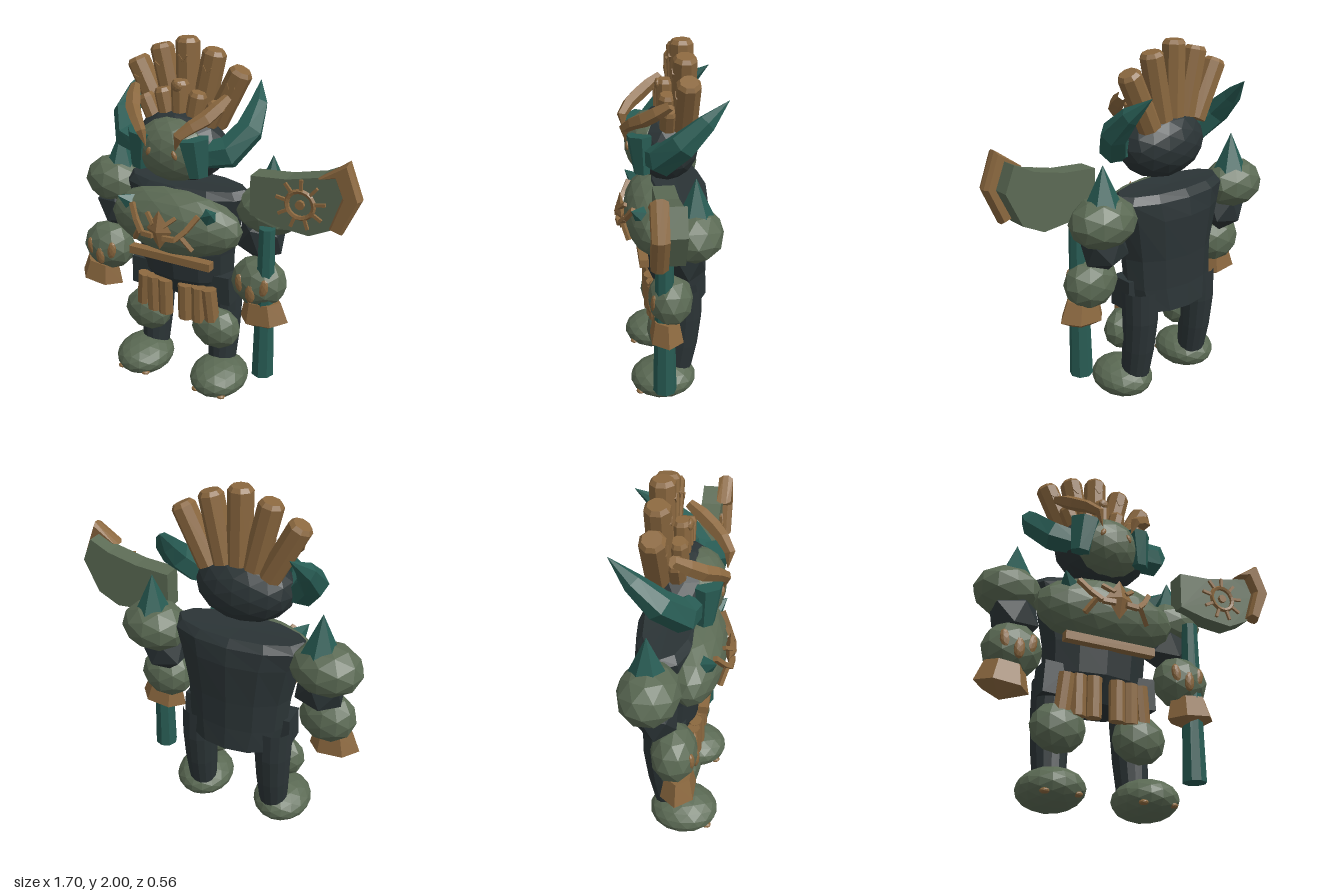
import * as THREE from 'three';

const paint = (name, color) => {
  const m = new THREE.MeshStandardMaterial({ color, flatShading: true });
  m.name = name;
  return m;
};
const V = (x, y, z) => new THREE.Vector3(x, y, z);

export function createModel() {
  const green = paint('moss armour', 0x5b6a54);
  const teal = paint('teal horn', 0x285c54);
  const gold = paint('bronze trim', 0x8b683f);
  const dark = paint('dark cloth', 0x2b3436);

  const model = new THREE.Group();
  const body = new THREE.Group();
  body.name = 'body';
  body.position.x = -0.183;
  model.add(body);

  const add = (name, geo, mat, x = 0, y = 0, z = 0, parent = body) => {
    const m = new THREE.Mesh(geo, mat);
    m.name = name;
    m.position.set(x, y, z);
    parent.add(m);
    return m;
  };
  // Faceted ellipsoid
  const blob = (name, mat, p, r, detail = 1) => {
    const m = add(name, new THREE.IcosahedronGeometry(1, detail), mat, ...p);
    m.scale.set(...r);
    return m;
  };
  // Straight box bar between two points
  const bar = (name, mat, a, b, w, d, parent = body) => {
    const dir = b.clone().sub(a);
    const m = add(name, new THREE.BoxGeometry(w, dir.length(), d), mat, 0, 0, 0, parent);
    m.position.copy(a).add(b).multiplyScalar(0.5);
    m.quaternion.setFromUnitVectors(V(0, 1, 0), dir.normalize());
    return m;
  };
  // Tube whose radius follows a list along its path
  const taper = (name, mat, pts, radii, sides = 6) => {
    const curve = new THREE.CatmullRomCurve3(pts);
    const n = radii.length - 1;
    const geo = new THREE.TubeGeometry(curve, n, 1, sides);
    const pos = geo.attributes.position;
    for (let i = 0; i < pos.count; i++) {
      const ring = Math.floor(i / (sides + 1));
      const c = curve.getPointAt(ring / n);
      const p = V().fromBufferAttribute(pos, i).sub(c).multiplyScalar(radii[ring]).add(c);
      pos.setXYZ(i, p.x, p.y, p.z);
    }
    return add(name, geo, mat);
  };
  // Turned shape from a profile of [radius, height]
  const turned = (pts, sides) => new THREE.LatheGeometry(
    pts.map(p => new THREE.Vector2(...p)), sides, Math.PI / sides);
  // Eight-sided column with a bevelled top
  const column = (r, h) => turned([[0, 0], [r, 0], [r, h - 0.02], [r * 0.75, h], [0, h]], 8);

  // Torso and tunic: elliptical rings [y, rx, rz, z]
  const rings = [[0.57, 0.001, 0.001, -0.1], [0.57, 0.25, 0.14, -0.1], [0.7, 0.285, 0.17, -0.06], [0.87, 0.295, 0.18, -0.05],
    [1.1, 0.34, 0.18, -0.06], [1.2, 0.378, 0.165, -0.06], [1.24, 0.345, 0.13, -0.06], [1.23, 0.001, 0.001, -0.06]];
  const sides = 12, verts = [], idx = [];
  rings.forEach(([y, rx, rz, z], r) => {
    for (let i = 0; i < sides; i++) {
      const a = i / sides * Math.PI * 2, j = (i + 1) % sides;
      verts.push(Math.cos(a) * rx, y, z + Math.sin(a) * rz);
      if (r) {
        const o = (r - 1) * sides, n = r * sides;
        idx.push(o + i, n + i, n + j, o + i, n + j, o + j);
      }
    }
  });
  const torso = new THREE.BufferGeometry();
  torso.setAttribute('position', new THREE.Float32BufferAttribute(verts, 3));
  torso.setIndex(idx);
  torso.computeVertexNormals();
  add('torso', torso, dark);

  // Chest plate, belt and skirt panels
  blob('chestPlate', green, [0, 1.045, 0.075], [0.395, 0.19, 0.16], 2);
  add('belt', new THREE.BoxGeometry(0.5, 0.045, 0.05), gold, 0, 0.852, 0.14);
  for (const s of [-1, 1]) [0.064, 0.146, 0.216].forEach((x, i) => {
    const panel = new THREE.CylinderGeometry(0.043, 0.043, 0.215, 8, 1, false, Math.PI / 8);
    const p = add('skirtPanel', panel, gold, s * x, 0.57, 0.098 - i * 0.008);
    p.scale.z = 0.8;
    p.rotation.set(0, s * i * 0.15, s * (i === 2 ? 0.1 : 0));
  });

  // Chest emblem
  const gem = add('emblemCore', new THREE.OctahedronGeometry(0.1, 0), gold, 0, 1.06, 0.25);
  gem.scale.set(0.75, 1.12, 0.34);
  for (const s of [-1, 1]) {
    const path = [[0.03, 1.03, 0.268], [0.1, 1.03, 0.262], [0.15, 1.08, 0.232], [0.2, 1.155, 0.19]].map(([x, y, z]) => V(s * x, y, z));
    for (let i = 0; i < 3; i++) bar('emblemWing', gold, path[i], path[i + 1], 0.026, 0.024);
    bar('emblemBranch', gold, V(s * 0.12, 1.05, 0.245), V(s * 0.175, 0.965, 0.215), 0.022, 0.024);
    bar('emblemBranch', gold, V(s * 0.03, 1.09, 0.26), V(s * 0.085, 1.135, 0.225), 0.02, 0.02);
  }

  // Head and face plate
  blob('head', dark, [0, 1.455, 0], [0.265, 0.19, 0.18], 2);
  blob('facePlate', green, [0, 1.455, 0.08], [0.21, 0.17, 0.14], 2);

  // Crown: tall fan behind, short fan in front
  for (const [name, r, z, w, low, tops] of [['tallCrownColumn', 0.063, -0.085, 0.22, 0.36, [0.75, 0.72, 0.69]],
    ['shortCrownColumn', 0.048, 0, 0.21, 0.38, [0.55, 0.51, 0.5]]]) {
    for (let i = -2; i <= 2; i++) {
      const fan = new THREE.Group();
      fan.name = name;
      fan.position.set(0, 1.25, z);
      fan.rotation.z = -i * w * (i % 2 ? 1 : 1.05);
      body.add(fan);
      const top = tops[Math.abs(i)];
      add('column', column(r, top - low), gold, 0, low, 0, fan);
      if (r > 0.05) for (const s of [-1, 1])
        bar('chevron', gold, V(0, top - 0.11, r * 0.93), V(s * 0.025, top - 0.08, r * 0.93), 0.009, 0.009, fan);
    }
  }
  blob('crownStud', gold, [0, 1.775, 0.04], [0.03, 0.03, 0.015]);

  for (const s of [-1, 1]) {
    // Horns, cheek guards, brow antlers and eyes
    taper('horn', teal, [V(s * 0.15, 1.44, 0.08), V(s * 0.31, 1.48, 0.03), V(s * 0.375, 1.61, -0.09), V(s * 0.325, 1.775, -0.28)],
      [0.07, 0.085, 0.075, 0.05, 0.001]);
    const cheek = add('cheekGuard', new THREE.CylinderGeometry(0.085, 0.055, 0.2, 6), teal, s * 0.168, 1.455, 0.145);
    cheek.scale.z = 0.7;
    cheek.rotation.set(0, s * 0.5, s * 0.12);
    taper('browAntler', gold, [V(s * 0.27, 1.74, 0), V(s * 0.215, 1.66, 0.12), V(s * 0.11, 1.58, 0.22), V(s * 0.085, 1.5, 0.215)],
      [0.025, 0.038, 0.04, 0.035, 0.028, 0.002], 5);
    const eye = blob('eye', gold, [s * 0.075, 1.47, 0.205], [0.014, 0.026, 0.012]);
    eye.rotation.z = s * 0.4;

    // Chest spikes
    const spike = add('chestSpike', new THREE.ConeGeometry(0.09, 0.15, 5), teal, s * 0.245, 1.145, 0.155);
    spike.rotation.set(0.9, 0, -s * 0.5);

    // Shoulders and arms
    blob('shoulder', green, [s * 0.48, 1.145, -0.09], [0.19, 0.14, 0.155]);
    add('shoulderSpike', new THREE.ConeGeometry(0.1, 0.22, 6), teal, s * 0.465 + 0.02, 1.335, -0.1);
    blob('upperArm', dark, [s * 0.45, 0.99, -0.06], [0.145, 0.135, 0.115], 0).rotation.z = s * 0.4;
    blob('forearm', green, [s * 0.478, 0.77, 0.025], [0.158, 0.145, 0.12]);
    for (const [x, y] of [[-0.065, 0.78], [0, 0.745], [0.065, 0.78]]) {
      const stud = blob('forearmStud', gold, [s * 0.475 + x, y, 0.13 - Math.abs(x) * 0.25], [0.03, 0.058, 0.02]);
      stud.rotation.z = -x * 3;
    }
    const fist = turned([[0, -0.095], [0.14, -0.03], [0.105, 0.085], [0, 0.085]], 6);
    const hand = add('hand', fist, gold, s * 0.522, 0.59, 0.05);
    hand.scale.z = 0.68;
    hand.rotation.z = s * 0.1;

    // Legs, hip pouches and feet
    taper('leg', dark, [V(s * 0.218, 0.68, -0.075), V(s * 0.222, 0.45, -0.08), V(s * 0.225, 0.15, -0.045)],
      [0.105, 0.1, 0.092, 0.08], 14);
    add('hipPouch', new THREE.BoxGeometry(0.15, 0.17, 0.14), dark, s * 0.237, 0.66, -0.02).rotation.z = s * 0.05;
    blob('knee', green, [s * 0.222, 0.41, 0.03], [0.148, 0.13, 0.1]);
    blob('foot', green, [s * 0.25, 0.1, 0.04], [0.165, 0.104, 0.19], 2);
    for (const x of [-0.08, 0.08])
      blob('toe', gold, [s * 0.25 + x, 0.06, 0.178], [0.025, 0.014, 0.025]);
  }

  // Axe
  const axe = new THREE.Group();
  axe.name = 'axe';
  model.add(axe);
  add('shaft', new THREE.CylinderGeometry(0.044, 0.064, 0.89, 8), teal, 0.348, 0.665, 0.06, axe);
  const slab = (pts, options) => new THREE.ExtrudeGeometry(
    new THREE.Shape(pts.map(p => new THREE.Vector2(...p))), options);
  add('blade', slab([[0.27, 1.19], [0.42, 1.155], [0.59, 1.14], [0.71, 1.2], [0.795, 1.38], [0.74, 1.51],
    [0.63, 1.455], [0.46, 1.415], [0.27, 1.4]], { depth: 0.11, bevelEnabled: false }), green, 0, 0, 0.002, axe);
  add('bladeEdge', slab([[0.7, 1.215], [0.765, 1.195], [0.847, 1.385], [0.775, 1.565], [0.63, 1.46],
    [0.715, 1.475], [0.755, 1.385]],
  { depth: 0.03, bevelThickness: 0.025, bevelSize: 0.012, bevelOffset: -0.012, bevelSegments: 1 }), gold, 0, 0, 0.11, axe);

  // Sun ornament on the blade
  const sun = new THREE.Group();
  sun.name = 'sunOrnament';
  sun.position.set(0.54, 1.3, 0.12);
  axe.add(sun);
  add('sunRing', new THREE.TorusGeometry(0.07, 0.013, 5, 18), gold, 0, 0, 0, sun);
  add('sunCentre', new THREE.CylinderGeometry(0.024, 0.024, 0.02, 8), gold, 0, 0, 0, sun).rotation.x = Math.PI / 2;
  for (let i = 0; i < 9; i++) {
    const a = Math.PI / 2 + i * Math.PI * 2 / 9, c = Math.cos(a), s = Math.sin(a);
    bar('sunRay', gold, V(c * 0.07, s * 0.07, 0), V(c * 0.13, s * 0.13, 0), 0.016, 0.014, sun);
  }
  return model;
}
